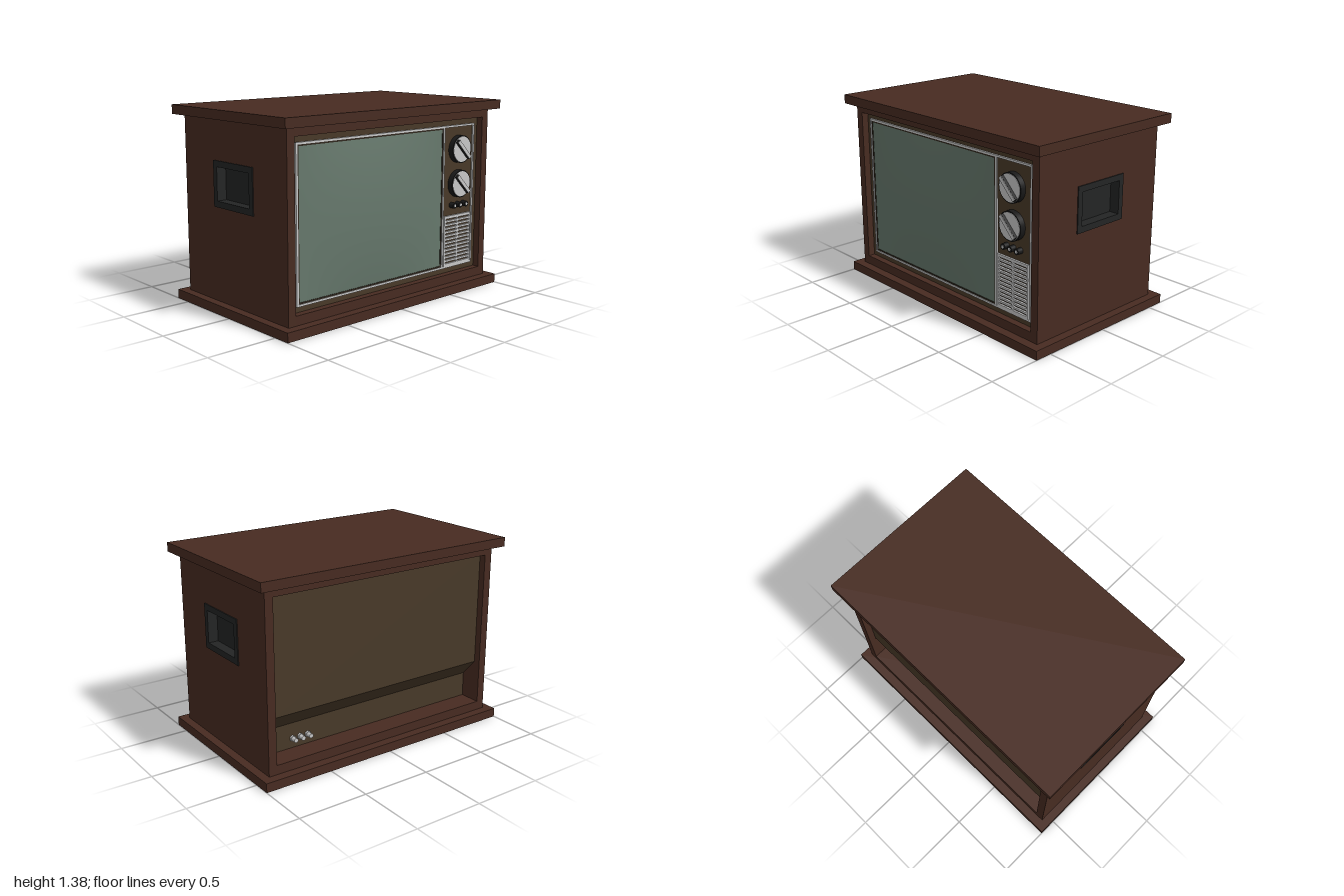
import * as THREE from 'three';

const mat = (name, color) => {
  const m = new THREE.MeshStandardMaterial({ color });
  m.name = name;
  return m;
};

export function createModel() {
  const wood = mat('walnut wood', 0x472b21);
  const panel = mat('brown panel', 0x483928);
  const silver = mat('silver trim', 0xc8c8c8);
  const black = mat('black plastic', 0x191919);
  const charcoal = mat('charcoal grip', 0x232424);
  const glass = mat('screen glass', 0x66786c);
  const bezelMat = mat('dark bezel', 0x30281e);

  const model = new THREE.Group();
  model.name = 'television';

  const add = (name, geo, material, parent = model) => {
    const m = new THREE.Mesh(geo, material);
    m.name = name;
    parent.add(m);
    return m;
  };
  // Box given by its limits
  const box = (name, x0, x1, y0, y1, z0, z1, material, parent) =>
    add(name, new THREE.BoxGeometry(x1 - x0, y1 - y0, z1 - z0)
      .translate((x0 + x1) / 2, (y0 + y1) / 2, (z0 + z1) / 2), material, parent);
  // Rectangular plate with rectangular holes, rectangles are [x0, x1, y0, y1]
  const trace = (path, [x0, x1, y0, y1]) =>
    path.moveTo(x0, y0).lineTo(x1, y0).lineTo(x1, y1).lineTo(x0, y1).closePath();
  const plate = (name, outer, holes, z0, z1, material, parent) => {
    const shape = new THREE.Shape();
    trace(shape, outer);
    for (const h of holes) {
      const p = new THREE.Path();
      trace(p, h);
      shape.holes.push(p);
    }
    const geo = new THREE.ExtrudeGeometry(shape, { depth: z1 - z0, bevelEnabled: false });
    return add(name, geo.translate(0, 0, z0), material, parent);
  };
  // Cylinder along z, from z0 to z1
  const disc = (name, x, y, r, z0, z1, material, parent, sides = 40) =>
    add(name, new THREE.CylinderGeometry(r, r, z1 - z0, sides)
      .rotateX(Math.PI / 2).translate(x, y, (z0 + z1) / 2), material, parent);

  // Cabinet slabs and rails
  box('bottomSlab', -1, 1, 0, 0.065, -0.625, 0.625, wood);
  box('topSlab', -1, 1, 1.315, 1.38, -0.625, 0.625, wood);
  box('bottomRail', -0.88, 0.88, 0.065, 0.13, -0.56, 0.56, wood);
  box('topRail', -0.88, 0.88, 1.255, 1.315, -0.56, 0.56, wood);

  // Side walls with recessed carrying grips
  const grip = [-0.217, 0.217, 0.72, 1.035];
  const pocket = [-0.177, 0.177, 0.763, 0.993];
  for (const [name, s] of [['left', 1], ['right', -1]]) {
    const side = new THREE.Group();
    side.name = name + 'Side';
    side.rotation.y = s * Math.PI / 2;
    plate('sideWall', [-0.56, 0.56, 0.065, 1.315], [grip], 0.88, 0.94, wood, side);
    plate('gripFrame', grip, [pocket], 0.87, 0.947, charcoal, side);
    box('gripBack', grip[0], grip[1], grip[2], grip[3], 0.86, 0.875, charcoal, side);
    model.add(side);
  }

  // Front panel, trim and bezel
  box('frontPanel', -0.88, 0.88, 0.13, 1.255, 0.45, 0.51, panel);
  plate('silverTrim', [-0.84, 0.84, 0.168, 1.212],
    [[-0.826, 0.509, 0.182, 1.198], [0.523, 0.826, 0.182, 1.198]], 0.51, 0.522, silver);
  plate('screenBezel', [-0.826, 0.509, 0.182, 1.198],
    [[-0.815, 0.498, 0.193, 1.187]], 0.51, 0.517, bezelMat);

  // Bulging screen
  const w = 1.313, h = 0.994;
  const screen = new THREE.PlaneGeometry(w, h, 32, 24);
  const pos = screen.attributes.position;
  for (let i = 0; i < pos.count; i++) {
    const u = pos.getX(i) / (w / 2), v = pos.getY(i) / (h / 2);
    pos.setZ(i, 0.035 * (1 - u * u) * (1 - v * v));
  }
  screen.computeVertexNormals();
  add('screen', screen.translate(-0.1585, 0.69, 0.514), glass);

  // Two large dials with raised diagonal ridges
  for (const y of [1.037, 0.785]) {
    const dial = new THREE.Group();
    dial.name = 'dial';
    dial.position.set(0.675, y, 0.51);
    disc('dialBody', 0, 0, 0.1, 0, 0.04, black, dial);
    disc('dialFace', 0, 0, 0.092, 0.04, 0.043, silver, dial);
    const ridge = new THREE.Group();
    ridge.name = 'dialRidge';
    ridge.rotation.z = -Math.PI / 4;
    box('ridgeBody', -0.09, 0.09, -0.014, 0.014, 0.04, 0.065, black, ridge);
    box('ridgeCap', -0.09, 0.09, -0.013, 0.013, 0.065, 0.068, silver, ridge);
    dial.add(ridge);
    model.add(dial);
  }

  // Three small knobs
  for (const x of [0.612, 0.674, 0.736]) {
    disc('smallKnob', x, 0.63, 0.021, 0.51, 0.55, black, model, 24);
    disc('smallKnobCap', x, 0.63, 0.01, 0.55, 0.553, silver, model, 24);
  }

  // Speaker grille with two columns of slots
  const slots = [];
  for (let i = 0; i < 13; i++) {
    const y = 0.2 + i * 0.0268;
    slots.push([0.546, 0.667, y, y + 0.013], [0.682, 0.804, y, y + 0.013]);
  }
  plate('speakerGrille', [0.53, 0.815, 0.182, 0.555], slots, 0.51, 0.524, silver);

  // Back panel with an undercut at the bottom
  const profile = new THREE.Shape([[-0.3, 0.13], [-0.3, 1.255], [-0.51, 1.255],
    [-0.51, 0.435], [-0.4, 0.31], [-0.4, 0.13]].map(p => new THREE.Vector2(...p)));
  add('backPanel', new THREE.ExtrudeGeometry(profile, { depth: 1.76, bevelEnabled: false })
    .rotateY(-Math.PI / 2).translate(0.88, 0, 0), panel);

  // Connectors on the lower back
  for (const x of [0.54, 0.6, 0.66]) {
    disc('connectorBase', x, 0.2, 0.022, -0.415, -0.4, silver, model, 6);
    disc('connectorPin', x, 0.2, 0.016, -0.45, -0.415, silver, model, 16);
  }

  return model;
}
